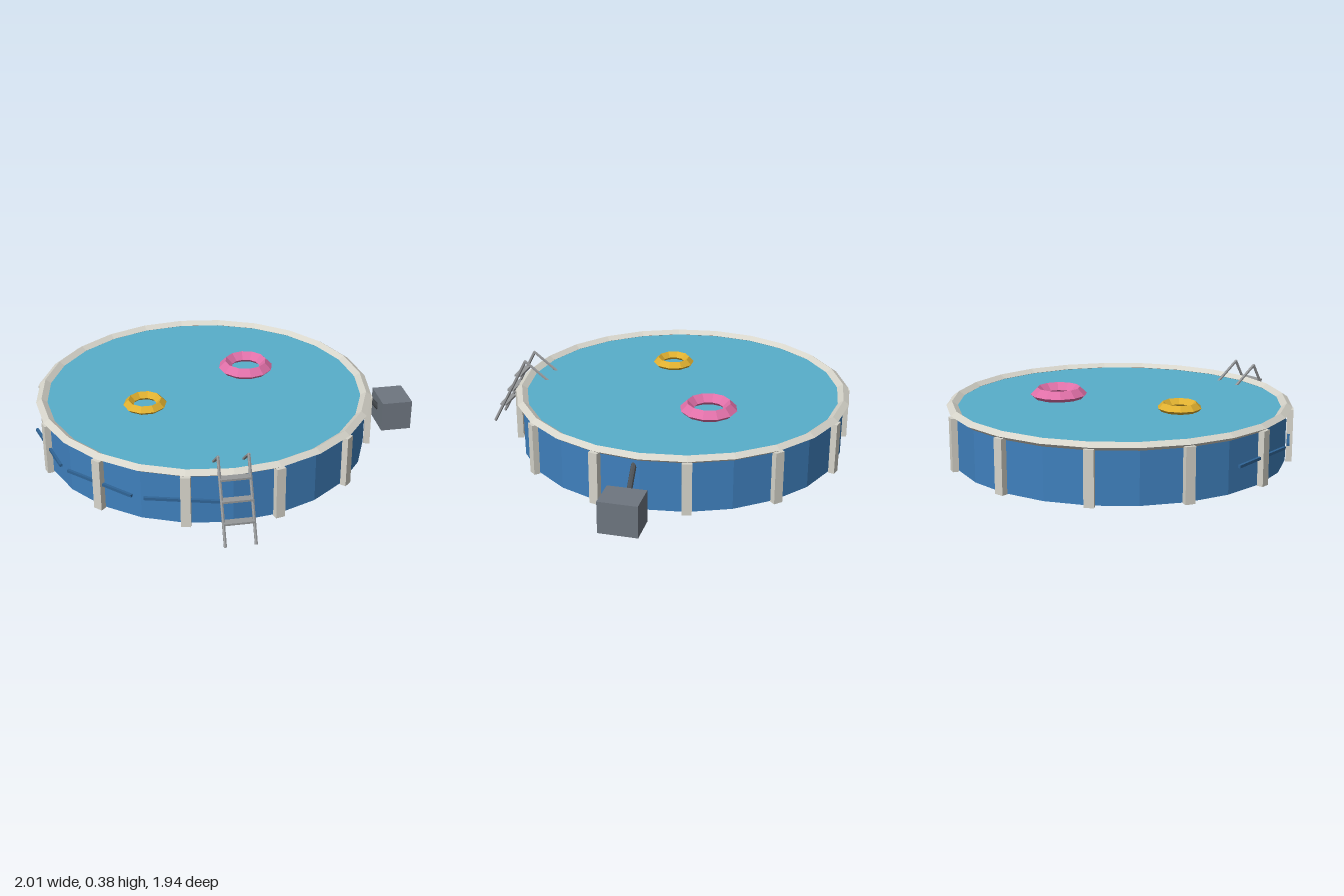
import * as THREE from 'three';

const mat = (name, color) => {
  const m = new THREE.MeshStandardMaterial({ color });
  m.name = name;
  m.flatShading = true;
  return m;
};

export function createModel() {
  const blue = mat('wall blue', 0x3f80bd);
  const darkBlue = mat('strip blue', 0x2f6496);
  const aqua = mat('water aqua', 0x58aeca);
  const white = mat('frame off-white', 0xd6d4ca);
  const yellow = mat('ring yellow', 0xe0b030);
  const pink = mat('ring pink', 0xe070a8);
  const grey = mat('pump grey', 0x6e7680);
  const darkGrey = mat('hose dark grey', 0x4c5156);
  const steel = mat('ladder steel', 0x96989a);

  const model = new THREE.Group();
  model.name = 'swimmingPool';
  const add = (parent, name, geo, material, x = 0, y = 0, z = 0) => {
    const mesh = new THREE.Mesh(geo, material);
    mesh.name = name;
    mesh.position.set(x, y, z);
    parent.add(mesh);
    return mesh;
  };
  // Straight round bar between two points
  const bar = (parent, name, a, b, r, sides, material) => {
    const dir = b.clone().sub(a);
    const mesh = add(parent, name, new THREE.CylinderGeometry(r, r, dir.length(), sides), material);
    mesh.position.copy(a).addScaledVector(dir, 0.5);
    mesh.quaternion.setFromUnitVectors(new THREE.Vector3(0, 1, 0), dir.normalize());
  };
  // Faceted ring lying flat, with a diamond-shaped section
  const ring = (parent, name, R, r, segs, squash, material, x, y, z) => {
    const geo = new THREE.TorusGeometry(R, r, 4, segs);
    geo.rotateX(-Math.PI / 2);
    geo.scale(1, squash, 1);
    return add(parent, name, geo, material, x, y, z);
  };

  // Pool shell, water and top rail
  const pool = new THREE.Group();
  pool.name = 'pool';
  pool.position.set(-0.115, 0, -0.09);
  model.add(pool);
  add(pool, 'wall', new THREE.CylinderGeometry(0.85, 0.85, 0.268, 24), blue, 0, 0.134, 0);
  const water = new THREE.CircleGeometry(0.84, 24);
  water.rotateX(-Math.PI / 2);
  add(pool, 'water', water, aqua, 0, 0.276, 0);
  ring(pool, 'topRail', 0.851, 0.029, 24, 0.7, white, 0, 0.278, 0);

  // Upright posts between the wall and the rail
  for (let i = 0; i < 12; i++) {
    const a = THREE.MathUtils.degToRad(15 + 30 * i);
    const post = add(pool, 'post', new THREE.BoxGeometry(0.048, 0.27, 0.032), white,
      0.869 * Math.sin(a), 0.135, 0.869 * Math.cos(a));
    post.rotation.y = a;
  }

  // Straight strips along one quarter of the wall
  for (const deg of [-15, -45, -75]) {
    const a = THREE.MathUtils.degToRad(deg);
    const strip = add(pool, 'wallStrip', new THREE.BoxGeometry(0.4, 0.014, 0.014), darkBlue,
      0.864 * Math.sin(a), 0.138, 0.864 * Math.cos(a));
    strip.rotation.y = a;
  }

  // Floating swim rings
  ring(model, 'pinkSwimRing', 0.111, 0.036, 12, 1, pink, 0.147, 0.294, -0.29);
  ring(model, 'yellowSwimRing', 0.085, 0.027, 10, 1, yellow, -0.444, 0.291, 0.04);

  // Ladder: two bent side rails and three flat steps
  const ladder = new THREE.Group();
  ladder.name = 'ladder';
  model.add(ladder);
  for (const x of [-0.19, -0.045]) {
    const foot = new THREE.Vector3(x, 0, 0.962);
    const top = new THREE.Vector3(x, 0.37, 0.768);
    const end = new THREE.Vector3(x, 0.27, 0.64);
    bar(ladder, 'ladderRail', foot, top, 0.008, 6, steel);
    bar(ladder, 'ladderHandle', top, end, 0.008, 6, steel);
    add(ladder, 'ladderElbow', new THREE.IcosahedronGeometry(0.008), steel, x, 0.37, 0.768);
  }
  for (const y of [0.1, 0.19, 0.28]) {
    add(ladder, 'step', new THREE.BoxGeometry(0.145, 0.01, 0.038), steel, -0.1175, y, 0.962 - y * 0.524);
  }

  // Filter pump and its hose
  add(model, 'pumpBox', new THREE.BoxGeometry(0.163, 0.163, 0.195), grey, 0.9185, 0.0815, -0.058);
  bar(model, 'pumpHose', new THREE.Vector3(0.715, 0.24, -0.06), new THREE.Vector3(0.85, 0.085, -0.06),
    0.014, 8, darkGrey);

  return model;
}
